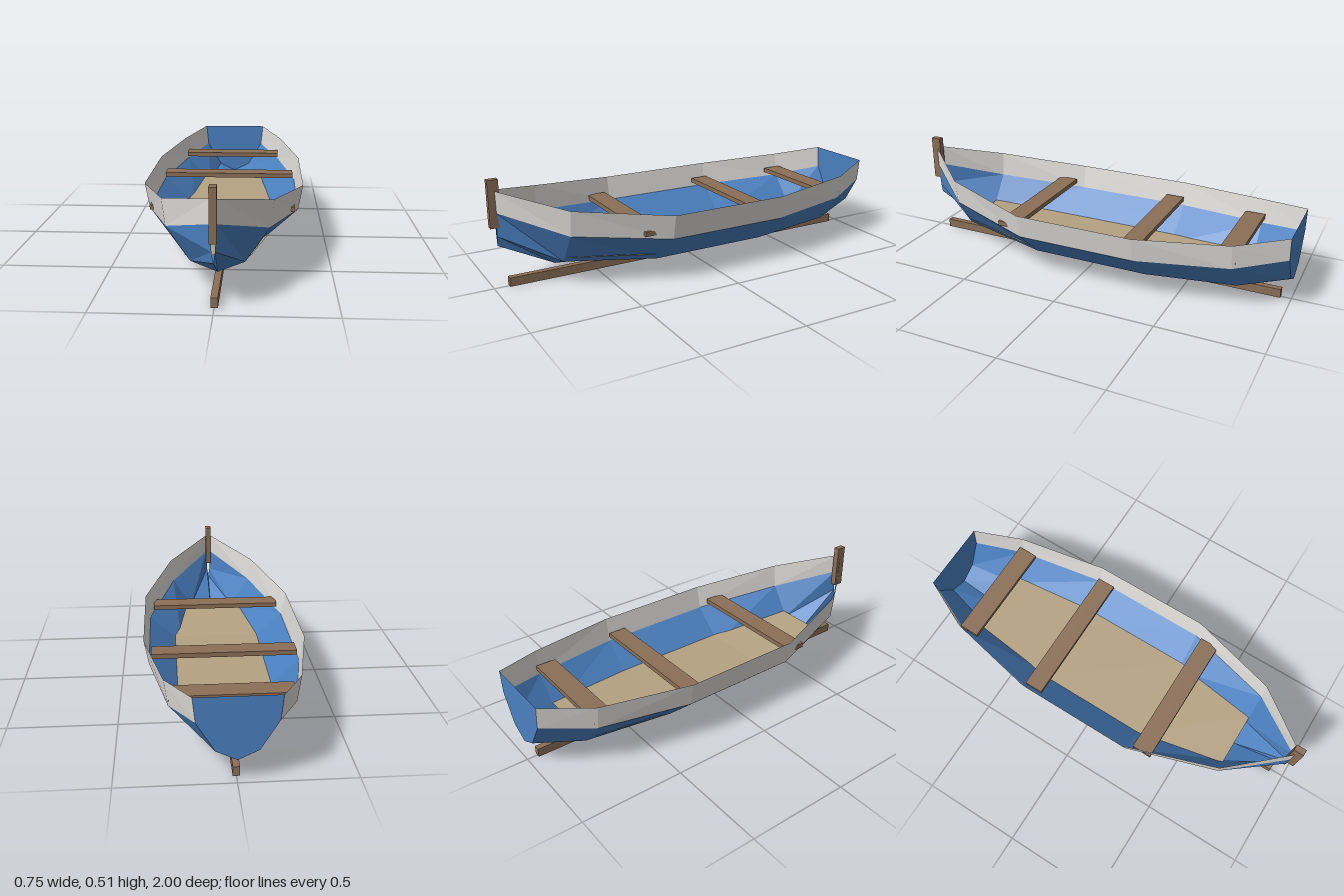
import * as THREE from 'three';

const material = (name, color, open) => {
  const m = new THREE.MeshStandardMaterial({ color });
  m.name = name;
  m.flatShading = true;
  if (open) m.side = THREE.DoubleSide;
  return m;
};

// Hull stations from bow to stern: z, keel y, then chine, rubbing line and gunwale as [half width, y]
const STATIONS = [
  { z: 0.97, keel: 0.203, chine: [0.007, 0.25], line: [0.013, 0.362], gunwale: [0.014, 0.463] },
  { z: 0.705, keel: 0.068, chine: [0.117, 0.115], line: [0.22, 0.268], gunwale: [0.235, 0.39] },
  { z: 0.26, keel: 0.027, chine: [0.188, 0.068], line: [0.353, 0.218], gunwale: [0.375, 0.337] },
  { z: -0.33, keel: 0.027, chine: [0.188, 0.068], line: [0.353, 0.218], gunwale: [0.375, 0.337] },
  { z: -0.77, keel: 0.045, chine: [0.143, 0.088], line: [0.27, 0.236], gunwale: [0.286, 0.356] },
  { z: -1, keel: 0.107, chine: [0.088, 0.15], line: [0.166, 0.28], gunwale: [0.177, 0.391] },
];

// Skin between successive cross-sections, each a list of [x, y, z]
function loft(sections) {
  const n = sections[0].length;
  const index = [];
  for (let i = 0; i < sections.length - 1; i++) {
    for (let j = 0; j < n - 1; j++) {
      const a = i * n + j, b = a + 1, c = a + n, d = c + 1;
      index.push(a, b, c, b, d, c);
    }
  }
  const g = new THREE.BufferGeometry();
  g.setAttribute('position', new THREE.Float32BufferAttribute(sections.flat(2), 3));
  g.setIndex(index);
  g.computeVertexNormals();
  return g;
}

export function createModel() {
  const boat = new THREE.Group();
  boat.name = 'rowingBoat';
  const blue = material('hullBlue', 0x4a80c0, true);
  const white = material('gunwaleWhite', 0xdedcd8, true);
  const tan = material('floorTan', 0xb5a282, true);
  const brown = material('timberBrown', 0x8b6f56);

  const add = (name, geometry, mat) => {
    const mesh = new THREE.Mesh(geometry, mat);
    mesh.name = name;
    boat.add(mesh);
    return mesh;
  };
  const beam = (name, width, y0, y1, z0, z1) =>
    add(name, new THREE.BoxGeometry(width, y1 - y0, z1 - z0), brown)
      .position.set(0, (y0 + y1) / 2, (z0 + z1) / 2);

  // Blue lower hull, open at the narrow bow
  add('hull', loft(STATIONS.map(({ z, keel, chine, line }) => [
    [-line[0], line[1], z], [-chine[0], chine[1], z], [0, keel, z],
    [chine[0], chine[1], z], [line[0], line[1], z],
  ])), blue);

  // Pale upper strake on each side
  for (const [name, s] of [['leftGunwale', 1], ['rightGunwale', -1]]) {
    add(name, loft(STATIONS.map(({ z, line, gunwale }) => [
      [s * line[0], line[1], z], [s * gunwale[0], gunwale[1], z],
    ])), white);
  }

  // Flat transom closing the stern
  const stern = STATIONS[5];
  const half = [stern.chine, stern.line, stern.gunwale];
  const outline = [[0, stern.keel], ...half, ...half.map(([x, y]) => [-x, y]).reverse()];
  const transom = new THREE.ShapeGeometry(new THREE.Shape(outline.map(([x, y]) => new THREE.Vector2(x, y))));
  add('transom', transom.translate(0, 0, stern.z), blue);

  // Floorboards follow the hull, above the keel
  add('floor', loft(STATIONS.slice(1, 5).map(({ z, keel, gunwale }) => {
    const w = gunwale[0] * 0.593, y = keel + 0.074;
    return [[-w, y, z], [w, y, z]];
  })), tan);

  // Benches
  beam('frontBench', 0.666, 0.245, 0.268, 0.295, 0.392);
  beam('middleBench', 0.684, 0.245, 0.268, -0.333, -0.24);
  beam('rearBench', 0.536, 0.262, 0.285, -0.785, -0.685);

  // Keel beam and stem post
  beam('keel', 0.03, 0, 0.043, -0.95, 0.93);
  beam('stemPost', 0.03, 0.292, 0.515, 0.95, 1);

  return boat;
}
